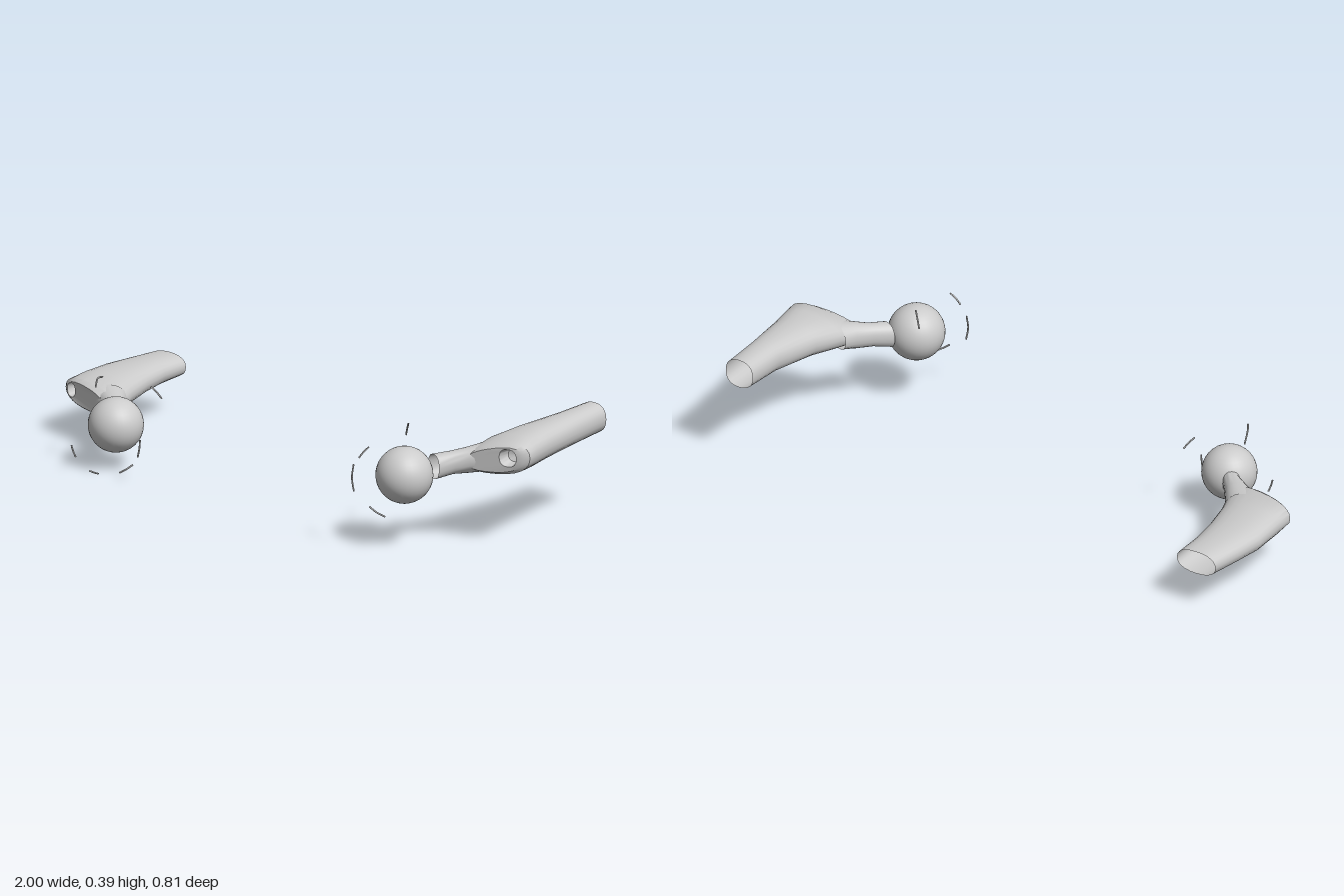
import * as THREE from 'three';
import { toCreasedNormals } from 'three/addons/utils/BufferGeometryUtils.js';

const material = new THREE.MeshStandardMaterial({ color: 0xcccccc, side: THREE.DoubleSide });
const SIDES = 24;

// Skins upright oval rings. Each station: outer x, z, y, half height, then inner x, z, y, half height.
function loft(name, stations) {
  const positions = [], index = [];
  const soften = (v) => Math.sign(v) * Math.abs(v) ** 0.85;
  for (const [ox, oz, oy, oh, ix, iz, iy, ih] of stations) {
    for (let i = 0; i < SIDES; i++) {
      const a = (i / SIDES) * Math.PI * 2;
      const t = 0.5 - 0.5 * soften(Math.cos(a));
      const mix = (p, q) => p + (q - p) * t;
      positions.push(mix(ox, ix), mix(oy, iy) + mix(oh, ih) * soften(Math.sin(a)), mix(oz, iz));
    }
  }
  for (let s = 0; s < stations.length - 1; s++) {
    for (let i = 0; i < SIDES; i++) {
      const j = (i + 1) % SIDES;
      const a = s * SIDES + i, b = s * SIDES + j, c = a + SIDES, d = b + SIDES;
      // Outer ends lie on +x or -x, so the winding follows the side
      if (stations[0][0] > 0) index.push(a, c, b, b, c, d);
      else index.push(a, b, c, b, d, c);
    }
  }
  const geometry = new THREE.BufferGeometry();
  geometry.setAttribute('position', new THREE.Float32BufferAttribute(positions, 3));
  geometry.setIndex(index);
  const mesh = new THREE.Mesh(toCreasedNormals(geometry, 0.7), material);
  mesh.name = name;
  return mesh;
}

// Thin curved splinter floating on a shell around the ball
function splinter(a, b) {
  const from = new THREE.Vector3(...a), to = new THREE.Vector3(...b);
  const middle = from.clone().add(to).setLength((from.length() + to.length()) / 2);
  const curve = new THREE.CatmullRomCurve3([from, middle, to]);
  const geometry = new THREE.TubeGeometry(curve, 8, 0.003, 5);
  const mesh = new THREE.Mesh(geometry, material);
  mesh.name = 'socketSplinter';
  return mesh;
}

function bone(name, { center, radius, shaft, neck, splinters }) {
  const group = new THREE.Group();
  group.name = name;
  const ball = new THREE.Mesh(new THREE.SphereGeometry(radius, 32, 20), material);
  ball.name = 'ballHead';
  ball.position.set(...center);
  const shell = new THREE.Group();
  shell.name = 'socketSplinters';
  shell.position.set(...center);
  for (const [a, b] of splinters) shell.add(splinter(a, b));
  group.add(ball, shell, loft('shaft', shaft), loft('neck', neck));
  return group;
}

export function createModel() {
  const model = new THREE.Group();
  model.name = 'pairedThighBones';

  model.add(bone('leftBone', {
    center: [0.65, 0.25, 0.265],
    radius: 0.095,
    // Open cut end, flaring shaft, rounded front, then the dimple
    shaft: [
      [0.945, -0.42, 0.33, 0.05, 0.84, -0.42, 0.33, 0.05],
      [0.955, -0.27, 0.326, 0.053, 0.835, -0.27, 0.326, 0.053],
      [0.975, -0.1, 0.322, 0.058, 0.8, -0.1, 0.315, 0.056],
      [0.99, -0.01, 0.32, 0.062, 0.77, 0, 0.3, 0.055],
      [1.0, 0.045, 0.32, 0.06, 0.75, 0.09, 0.28, 0.042],
      [0.985, 0.06, 0.318, 0.048, 0.78, 0.112, 0.285, 0.034],
      [0.96, 0.068, 0.315, 0.03, 0.9, 0.082, 0.315, 0.03],
      [0.95, 0.03, 0.315, 0.022, 0.905, 0.04, 0.315, 0.022],
      [0.928, 0.022, 0.315, 0, 0.928, 0.022, 0.315, 0],
    ],
    neck: [
      [0.88, 0.07, 0.295, 0.045, 0.76, 0.01, 0.29, 0.045],
      [0.8, 0.112, 0.284, 0.043, 0.745, 0.06, 0.28, 0.043],
      [0.765, 0.14, 0.278, 0.039, 0.71, 0.11, 0.274, 0.039],
      [0.735, 0.19, 0.268, 0.042, 0.665, 0.16, 0.264, 0.042],
    ],
    splinters: [
      [[-0.06, 0.14, -0.095], [-0.09, 0.09, -0.12]],
      [[-0.12, 0.04, 0.115], [-0.115, -0.05, 0.12]],
      [[-0.06, 0.11, 0.11], [-0.09, 0.07, 0.125]],
      [[-0.05, -0.09, 0.12], [0, -0.12, 0.1]],
    ],
  }));

  model.add(bone('rightBone', {
    center: [-0.63, 0.15, 0.18],
    radius: 0.092,
    shaft: [
      [-0.97, -0.42, 0.162, 0.04, -0.82, -0.42, 0.162, 0.04],
      [-0.985, -0.31, 0.162, 0.044, -0.817, -0.31, 0.162, 0.044],
      [-1.0, -0.2, 0.163, 0.048, -0.8, -0.2, 0.16, 0.048],
      [-0.995, -0.08, 0.165, 0.053, -0.77, -0.08, 0.157, 0.051],
      [-0.99, -0.005, 0.165, 0.053, -0.715, 0.06, 0.155, 0.046],
      [-0.98, 0.005, 0.165, 0.04, -0.76, 0.078, 0.155, 0.036],
      [-0.972, 0.008, 0.165, 0.024, -0.932, 0.018, 0.165, 0.024],
      [-0.968, -0.03, 0.165, 0.018, -0.936, -0.025, 0.165, 0.018],
      [-0.952, -0.04, 0.165, 0, -0.952, -0.04, 0.165, 0],
    ],
    neck: [
      [-0.87, 0.03, 0.158, 0.048, -0.76, -0.04, 0.156, 0.05],
      [-0.78, 0.078, 0.155, 0.045, -0.707, 0.035, 0.154, 0.045],
      [-0.71, 0.125, 0.152, 0.041, -0.665, 0.09, 0.152, 0.041],
      [-0.68, 0.17, 0.15, 0.042, -0.62, 0.13, 0.15, 0.042],
    ],
    splinters: [
      [[-0.08, 0.14, -0.03], [-0.02, 0.145, 0.08]],
      [[0.09, 0.13, -0.07], [0.12, 0.09, -0.09]],
      [[0.15, -0.01, 0.06], [0.14, -0.07, 0.06]],
      [[0.08, -0.13, 0.08], [0.12, -0.1, 0.06]],
      [[-0.09, -0.06, 0.12], [-0.08, -0.1, 0.11]],
      [[-0.03, -0.14, 0.1], [0, -0.147, 0.09]],
    ],
  }));

  return model;
}
